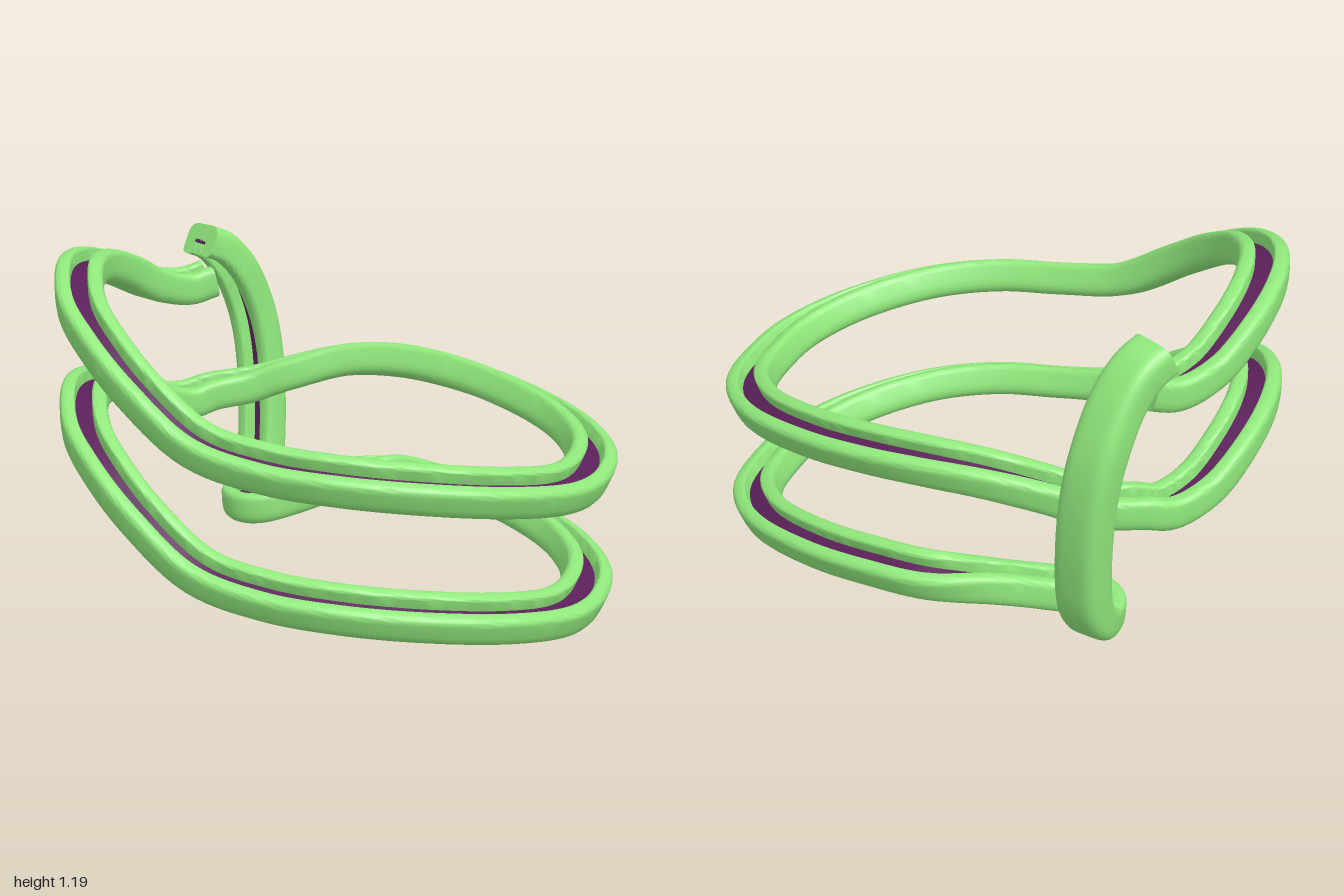
import * as THREE from 'three';
import { toCreasedNormals } from 'three/addons/utils/BufferGeometryUtils.js';

// One lap of track, starting back left: x, y, z, outward banking
const LAP = [
  [-0.68, 0.97, -0.48, 0], [-0.75, 0.95, -0.42, 0], [-0.835, 0.985, -0.3, 0], [-0.895, 1.07, -0.15, 0],
  [-0.915, 1.13, 0.02, 0], [-0.885, 1.14, 0.2, 0], [-0.77, 1.075, 0.43, 0.03], [-0.64, 0.995, 0.55, 0.08],
  [-0.48, 0.885, 0.635, 0.16], [-0.25, 0.74, 0.69, 0.3], [0, 0.69, 0.705, 0.4], [0.25, 0.67, 0.685, 0.4],
  [0.5, 0.64, 0.59, 0.4], [0.74, 0.59, 0.4, 0.4], [0.87, 0.55, 0.2, 0.4], [0.9, 0.535, 0, 0.4],
  [0.865, 0.545, -0.22, 0.4], [0.72, 0.575, -0.42, 0.4], [0.45, 0.62, -0.58, 0.4], [0.2, 0.65, -0.655, 0.4],
  [0, 0.66, -0.677, 0.35],
];
const DROP = 0.45;

// Gently descending link between the two laps
const LINK = [[-0.2, 0.645, -0.66, 0.25], [-0.4, 0.59, -0.6, 0.15], [-0.55, 0.54, -0.555, 0.05]];

// Tight turn and lift: x, y, z, then the direction the groove faces
const LIFT = [
  [-0.2, 0.18, -0.595, 0, 1, 0], [-0.37, 0.125, -0.485, 0, 1, 0], [-0.49, 0.095, -0.43, 0, 1, 0],
  [-0.55, 0.09, -0.475, 0, 1, 0.1], [-0.56, 0.1, -0.57, -0.1, 0.9, 0.4], [-0.55, 0.2, -0.655, -0.35, 0.3, 0.9],
  [-0.553, 0.4, -0.7, -0.35, 0, 0.9], [-0.57, 0.65, -0.715, -0.35, 0, 0.9], [-0.595, 0.82, -0.695, -0.38, -0.15, 0.88],
  [-0.635, 0.99, -0.625, -0.35, -0.5, 0.75], [-0.68, 1.08, -0.56, -0.25, -0.8, 0.5], [-0.72, 1.115, -0.5, -0.1, -1, 0.25],
];

// The channel is a little narrower where it runs left to right
const NARROW = 0.84;

function buildRoute() {
  const path = [], lean = [];
  const rows = [...LAP, ...LINK, ...LAP.map(([x, y, z, b]) => [x, y - DROP, z, b])];
  [...rows, ...LIFT].forEach(([x, y, z]) => path.push(new THREE.Vector3(x, y, z)));
  const curve = new THREE.CatmullRomCurve3(path, false, 'centripetal');
  const last = path.length - 1;
  // Banked rows lean towards the outside of the lap
  rows.forEach(([, , , bank], i) => {
    const t = curve.getTangent(i / last);
    lean.push(new THREE.Vector3(-t.z * bank, 1, t.x * bank).normalize());
  });
  LIFT.forEach(([, , , x, y, z]) => lean.push(new THREE.Vector3(x, y, z).normalize()));
  const ups = new THREE.CatmullRomCurve3(lean, false, 'catmullrom', 0.5);

  const frames = [];
  const steps = last * 7;
  for (let i = 0; i <= steps; i++) {
    const p = curve.getPoint(i / steps);
    const t = curve.getTangent(i / steps);
    const up = ups.getPoint(i / steps);
    up.addScaledVector(t, -up.dot(t)).normalize();
    const side = new THREE.Vector3().crossVectors(t, up).normalize();
    side.z *= NARROW;
    frames.push({ p, up, side });
  }
  return frames;
}

// Sweep a closed counter-clockwise section along the frames, with end caps
function sweep(section, frames) {
  const pos = [], index = [], n = section.length;
  for (const { p, up, side } of frames) {
    for (const s of section) {
      const v = p.clone().addScaledVector(side, s.x).addScaledVector(up, s.y);
      pos.push(v.x, v.y, v.z);
    }
  }
  for (let i = 0; i < frames.length - 1; i++) {
    for (let j = 0; j < n; j++) {
      const a = i * n + j, c = i * n + (j + 1) % n;
      index.push(a, a + n, c, a + n, c + n, c);
    }
  }
  const end = (frames.length - 1) * n;
  for (const [a, b, c] of THREE.ShapeUtils.triangulateShape(section, [])) {
    index.push(a, b, c, end + a, end + c, end + b);
  }
  const geo = new THREE.BufferGeometry();
  geo.setAttribute('position', new THREE.Float32BufferAttribute(pos, 3));
  geo.setIndex(index);
  return toCreasedNormals(geo, 0.8);
}

// U-shaped channel with rounded underside and tube-like rims
function channelSection() {
  const w = 0.087, h = 0.061, g = 0.031, floor = 0.005, r = 0.05, e = 0.027, b = 0.012;
  const s = new THREE.Shape();
  s.moveTo(-w + r, -h);
  s.lineTo(w - r, -h);
  s.quadraticCurveTo(w, -h, w, -h + r);
  s.lineTo(w, h - e);
  s.quadraticCurveTo(w, h, w - e, h);
  s.lineTo(g + b, h);
  s.quadraticCurveTo(g, h, g, h - b);
  s.lineTo(g, floor);
  s.lineTo(-g, floor);
  s.lineTo(-g, h - b);
  s.quadraticCurveTo(-g, h, -g - b, h);
  s.lineTo(-w + e, h);
  s.quadraticCurveTo(-w, h, -w, h - e);
  s.lineTo(-w, -h + r);
  s.quadraticCurveTo(-w, -h, -w + r, -h);
  const pts = s.getPoints(5);
  pts.pop();
  return pts;
}

// Thin strip lying on the groove floor
function stripSection() {
  const w = 0.032;
  return [[-w, 0], [w, 0], [w, 0.012], [-w, 0.012]].map(([x, y]) => new THREE.Vector2(x, y));
}

export function createModel() {
  const model = new THREE.Group();
  model.name = 'spiralTrack';
  const frames = buildRoute();
  const parts = [
    ['trackChannel', channelSection(), 0x90e87c],
    ['grooveStrip', stripSection(), 0x5a2058],
  ];
  for (const [name, section, color] of parts) {
    const mesh = new THREE.Mesh(sweep(section, frames), new THREE.MeshStandardMaterial({ color }));
    mesh.name = name;
    model.add(mesh);
  }
  return model;
}
